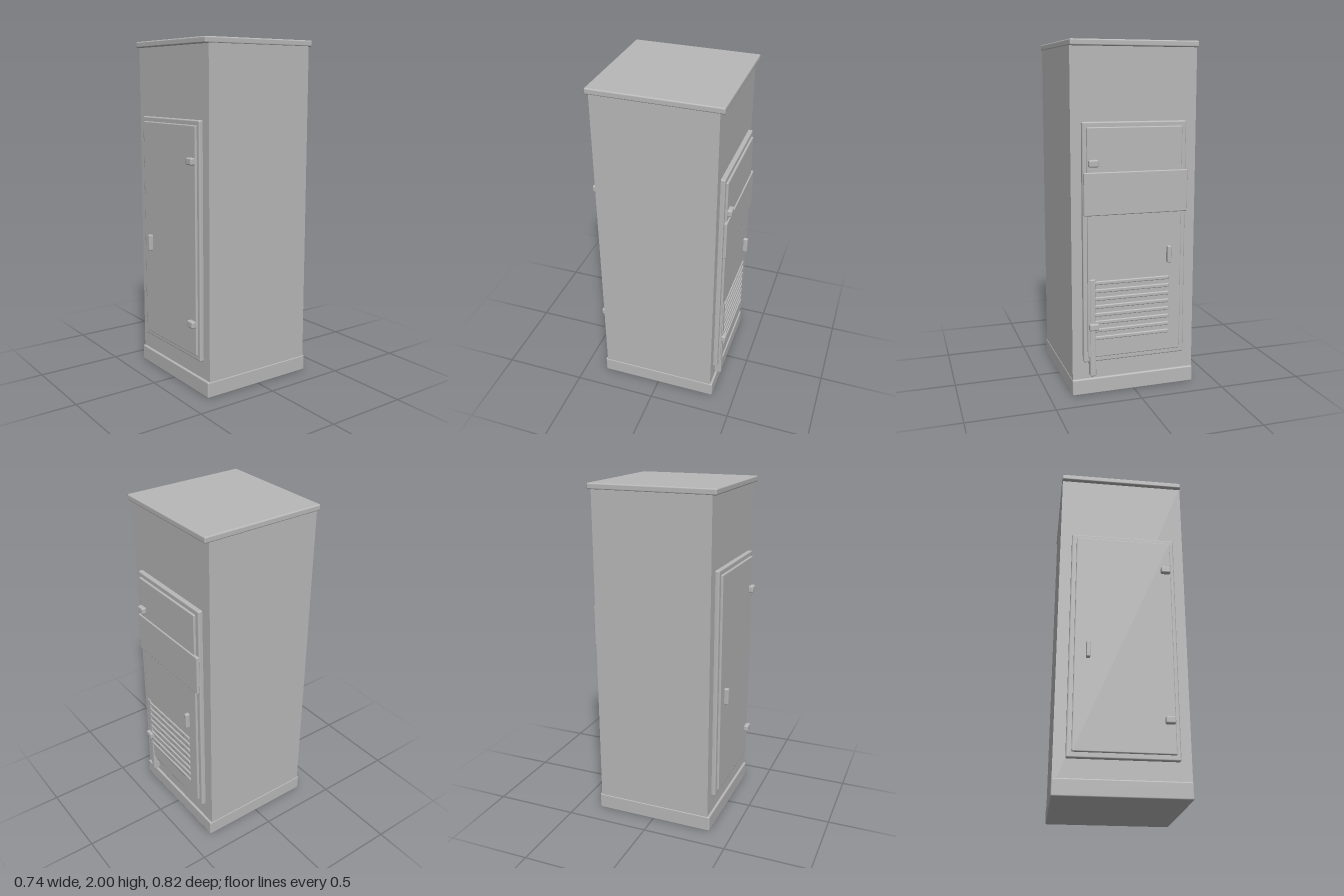
import * as THREE from 'three';
import { RoundedBoxGeometry } from 'three/addons/geometries/RoundedBoxGeometry.js';

const metal = new THREE.MeshStandardMaterial({ color: 0xb8b8b8 });
metal.name = 'grey metal';

// Box with softly bevelled edges, given by its extents on each axis
function block(parent, name, [x0, x1], [y0, y1], [z0, z1], bevel = 0.005) {
  const size = [x1 - x0, y1 - y0, z1 - z0];
  const geometry = bevel
    ? new RoundedBoxGeometry(...size, 2, bevel)
    : new THREE.BoxGeometry(...size);
  const mesh = new THREE.Mesh(geometry, metal);
  mesh.name = name;
  mesh.position.set((x0 + x1) / 2, (y0 + y1) / 2, (z0 + z1) / 2);
  parent.add(mesh);
  return mesh;
}

// Door on one face; side is 1 for the front and -1 for the back
function addDoor(parent, name, side) {
  const door = new THREE.Group();
  door.name = name;
  const depth = (a, b) => (side > 0 ? [a, b] : [-b, -a]);
  block(door, 'doorFrame', [-0.3, 0.307], [0.2, 1.563], depth(0.34, 0.373), 0.008);
  block(door, 'doorPanel', [-0.272, 0.284], [0.23, 1.535], depth(0.36, 0.385), 0.006);
  for (const y of [0.415, 1.34]) {
    block(door, 'hinge', [0.224, 0.279], [y - 0.02, y + 0.02], depth(0.37, 0.41), 0.008);
  }
  block(door, 'handle', [-0.206, -0.183], [0.758, 0.855], depth(0.37, 0.41), 0.006);
  parent.add(door);
  return door;
}

export function createModel() {
  const cabinet = new THREE.Group();
  cabinet.name = 'cabinet';

  // Main shell
  block(cabinet, 'body', [-0.367, 0.367], [0.03, 1.98], [-0.348, 0.35], 0);
  block(cabinet, 'plinth', [-0.37, 0.37], [0, 0.095], [-0.361, 0.363], 0.008);
  block(cabinet, 'roofCap', [-0.37, 0.37], [1.965, 2], [-0.373, 0.373], 0.008);

  addDoor(cabinet, 'frontDoor', 1);
  const backDoor = addDoor(cabinet, 'backDoor', -1);

  // Cross plate over the back door
  block(backDoor, 'crossPlate', [-0.304, 0.304], [1.05, 1.29], [-0.393, -0.373], 0.006);

  // Vent slats
  for (let i = 0; i < 8; i++) {
    const y = 0.345 + i * 0.046;
    block(backDoor, 'ventSlat', [-0.2, 0.245], [y - 0.011, y + 0.011], [-0.393, -0.375], 0.006);
  }

  // Upright conduit beside the vent
  block(backDoor, 'conduit', [0.237, 0.273], [0.117, 0.69], [-0.39, -0.345], 0.008);

  return cabinet;
}
